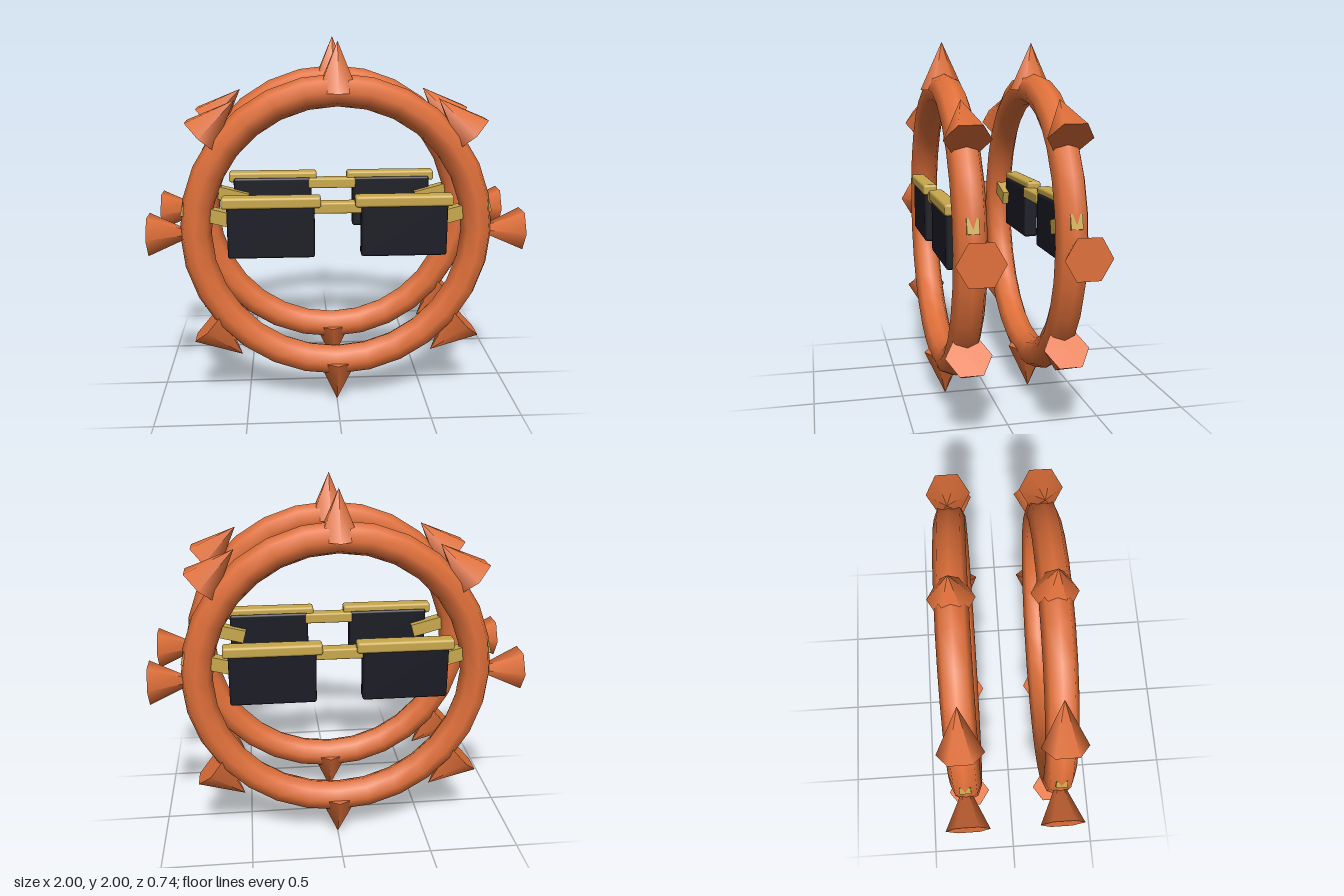
import * as THREE from 'three';
import { RoundedBoxGeometry } from 'three/addons/geometries/RoundedBoxGeometry.js';

const makeMaterial = (name, color) => {
  const m = new THREE.MeshStandardMaterial({ color });
  m.name = name;
  return m;
};

export function createModel() {
  const orange = makeMaterial('orange', 0xe0703a);
  const gold = makeMaterial('gold', 0xc9a84c);
  const dark = makeMaterial('darkLens', 0x1a1a24);

  const add = (parent, name, geometry, material, x, y, z, rotZ = 0) => {
    const mesh = new THREE.Mesh(geometry, material);
    mesh.name = name;
    mesh.position.set(x, y, z);
    mesh.rotation.z = rotZ;
    parent.add(mesh);
  };

  const ringGeo = new THREE.TorusGeometry(0.754, 0.084, 8, 28);
  const spikeGeo = new THREE.ConeGeometry(0.118, 0.255, 6);
  const lensGeo = new RoundedBoxGeometry(0.46, 0.3, 0.08, 2, 0.014);
  const browGeo = new RoundedBoxGeometry(0.52, 0.06, 0.08, 2, 0.014);
  const bridgeGeo = new RoundedBoxGeometry(0.28, 0.06, 0.07, 2, 0.01);
  const armGeo = new THREE.BoxGeometry(0.33, 0.075, 0.06);

  const model = new THREE.Group();
  model.name = 'spikedRings';

  // two identical wheels, each with spectacles on its outer face
  for (const face of [1, -1]) {
    const wheel = new THREE.Group();
    wheel.name = face > 0 ? 'frontWheel' : 'backWheel';
    wheel.position.set(0, 1, face * 0.25);
    model.add(wheel);

    add(wheel, 'ring', ringGeo, orange, 0, 0, 0);

    // spikes turn against their position: out at top and bottom, in at the sides
    for (let i = 0; i < 8; i++) {
      const a = (i * Math.PI) / 4;
      add(wheel, 'spike', spikeGeo, orange,
        0.8725 * Math.cos(a), 0.8725 * Math.sin(a), 0, Math.PI / 2 - a);
    }

    // spectacles
    const glasses = new THREE.Group();
    glasses.name = 'glasses';
    wheel.add(glasses);
    add(glasses, 'bridge', bridgeGeo, gold, 0, 0.146, face * 0.035);
    for (const side of [1, -1]) {
      add(glasses, 'lens', lensGeo, dark, side * 0.353, 0.03, face * 0.046);
      add(glasses, 'browBar', browGeo, gold, side * 0.35, 0.183, face * 0.056);
      add(glasses, 'arm', armGeo, gold, side * 0.66, 0.1, 0, side * 0.26);
    }
  }
  return model;
}
